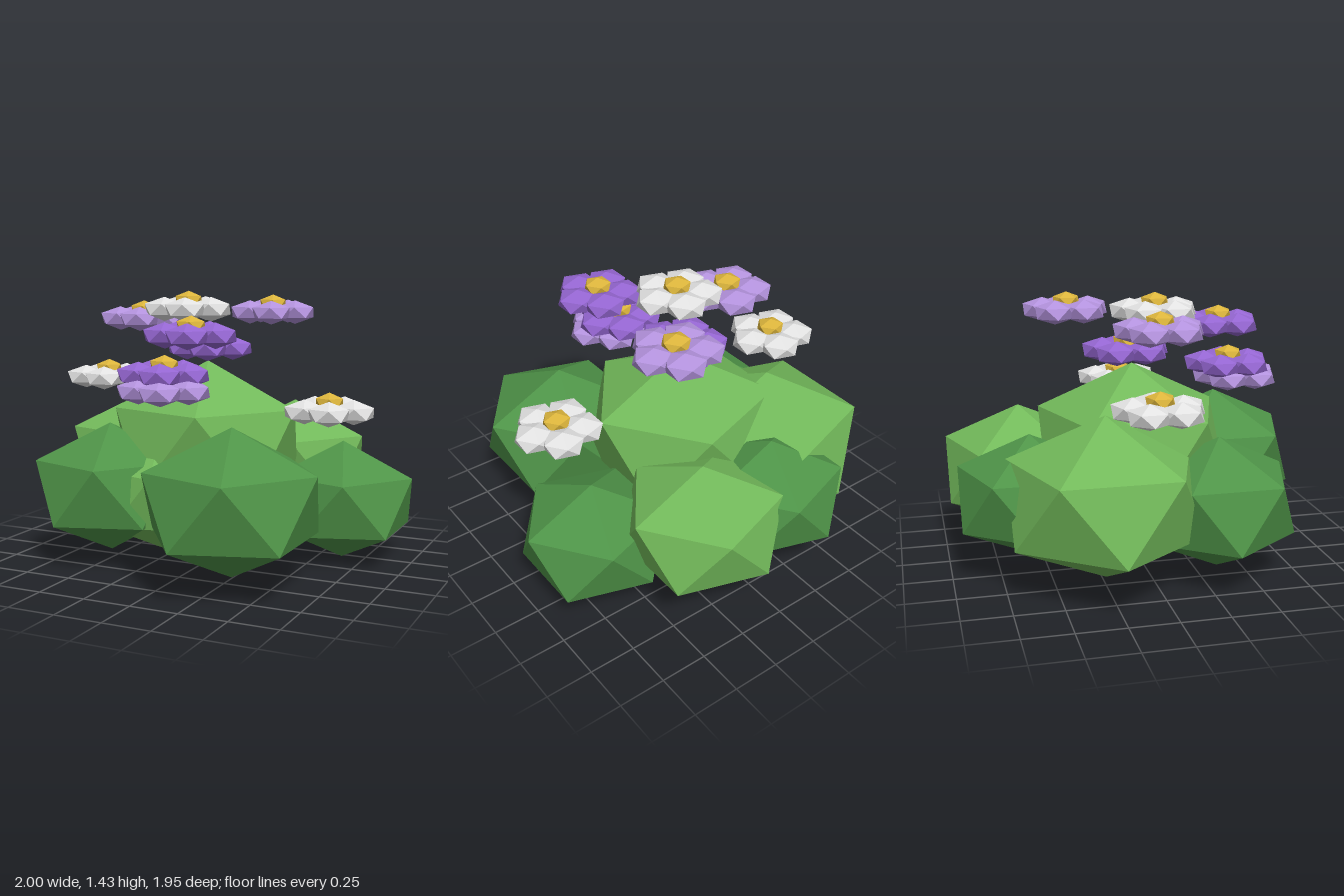
import * as THREE from 'three';

const paint = (name, color) => {
  const m = new THREE.MeshStandardMaterial({ color, flatShading: true });
  m.name = name;
  return m;
};

// Unit icosahedron standing on a point, one upper-ring corner facing +x
const lump = new THREE.IcosahedronGeometry(1, 0);
lump.rotateX(-Math.atan((1 + Math.sqrt(5)) / 2));
lump.rotateY(Math.PI / 2);

function blob(name, material, x, y, z, radius, halfHeight) {
  const mesh = new THREE.Mesh(lump, material);
  mesh.name = name;
  mesh.position.set(x, y, z);
  mesh.scale.set(radius, halfHeight, radius);
  return mesh;
}

// Five flattened petals around a small raised centre
function flower(petalMaterial, centreMaterial, x, y, z) {
  const group = new THREE.Group();
  group.name = 'flower';
  for (let i = 0; i < 5; i++) {
    const a = (i * Math.PI * 2) / 5;
    group.add(blob('petal', petalMaterial, 0.13 * Math.cos(a), 0, 0.13 * Math.sin(a), 0.117, 0.064));
  }
  group.add(blob('flowerCentre', centreMaterial, 0, 0.045, 0, 0.08, 0.05));
  group.position.set(x, y, z);
  return group;
}

export function createModel() {
  const model = new THREE.Group();
  model.name = 'floweringBush';

  const light = paint('lightLeaf', 0x72b95a);
  const dark = paint('darkLeaf', 0x4f9448);
  const white = paint('whitePetal', 0xe2e2e2);
  const lilac = paint('lilacPetal', 0xb493de);
  const purple = paint('purplePetal', 0x9566d2);
  const yellow = paint('yellowCentre', 0xdcb53c);

  // Leaf clumps: material, x, y, z, radius, half height
  const clumps = [
    [light, -0.083, 0.62, -0.02, 0.562, 0.44],
    [light, -0.5, 0.47, -0.25, 0.558, 0.42],
    [light, 0.205, 0.457, -0.59, 0.455, 0.342],
    [light, -0.23, 0.375, 0.25, 0.4, 0.305],
    [dark, 0.317, 0.43, 0.557, 0.49, 0.37],
    [dark, -0.49, 0.4, 0.335, 0.44, 0.344],
    [dark, 0.622, 0.322, -0.22, 0.423, 0.318],
    [dark, -0.245, 0.43, -0.59, 0.42, 0.32],
  ];
  for (const c of clumps) model.add(blob('leafClump', ...c));

  // Flowers: petal material, x, y, z
  const flowers = [
    [white, -0.71, 0.95, -0.03],
    [lilac, -0.44, 1.285, 0.04],
    [white, -0.145, 1.34, 0.087],
    [lilac, 0.17, 1.315, -0.32],
    [white, 0.635, 0.835, 0.06],
    [purple, 0.075, 1.23, 0.5],
    [purple, -0.08, 1.13, -0.045],
    [purple, -0.065, 1.035, 0.515],
    [lilac, -0.035, 0.96, 0.57],
  ];
  for (const [petal, x, y, z] of flowers) model.add(flower(petal, yellow, x, y, z));

  return model;
}
